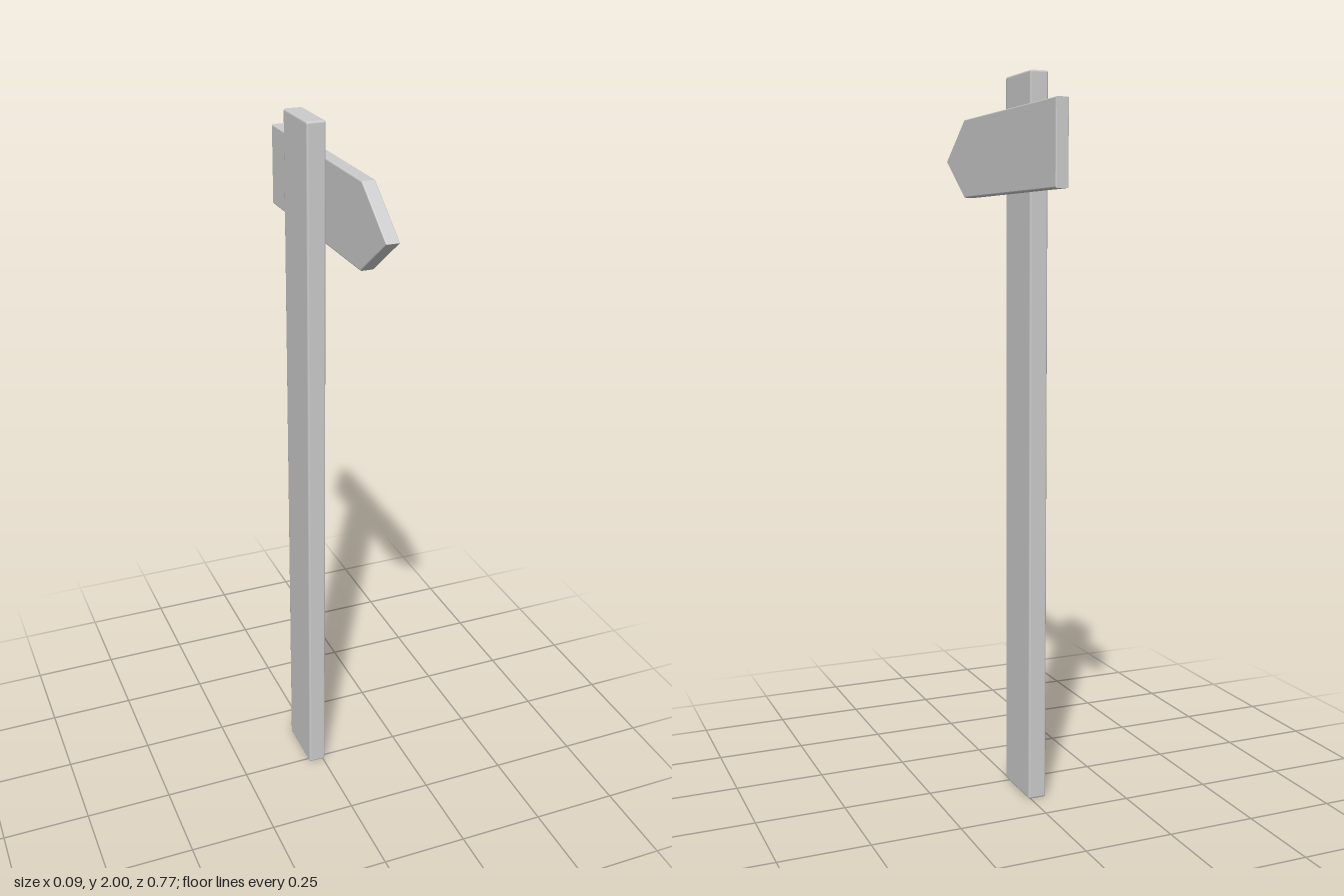
import * as THREE from 'three';
import { RoundedBoxGeometry } from 'three/addons/geometries/RoundedBoxGeometry.js';

export function createModel() {
  const group = new THREE.Group();
  const material = new THREE.MeshStandardMaterial({ color: 0xcccccc });

  // Upright plank with softened edges
  const post = new THREE.Mesh(new RoundedBoxGeometry(0.052, 2, 0.168, 2, 0.006), material);
  post.name = 'post';
  post.position.set(-0.019, 1, -0.066);
  group.add(post);

  // Arrow board: outline drawn lengthwise, extruded through its thickness
  const outline = new THREE.Shape([
    [-0.386, -0.11], [0.24, -0.11], [0.388, 0], [0.24, 0.11], [-0.386, 0.11],
  ].map(([x, y]) => new THREE.Vector2(x, y)));
  const thickness = 0.036, bevel = 0.003;
  const boardGeometry = new THREE.ExtrudeGeometry(outline, {
    depth: thickness - 2 * bevel,
    bevelThickness: bevel, bevelSize: bevel, bevelOffset: -bevel, bevelSegments: 2,
  });
  // Centre the thickness, then turn the tip towards the front
  boardGeometry.translate(0, 0, bevel - thickness / 2);
  boardGeometry.rotateY(-Math.PI / 2);
  const board = new THREE.Mesh(boardGeometry, material);
  board.name = 'arrowBoard';
  board.position.set(0.025, 1.795, 0);
  group.add(board);

  return group;
}
